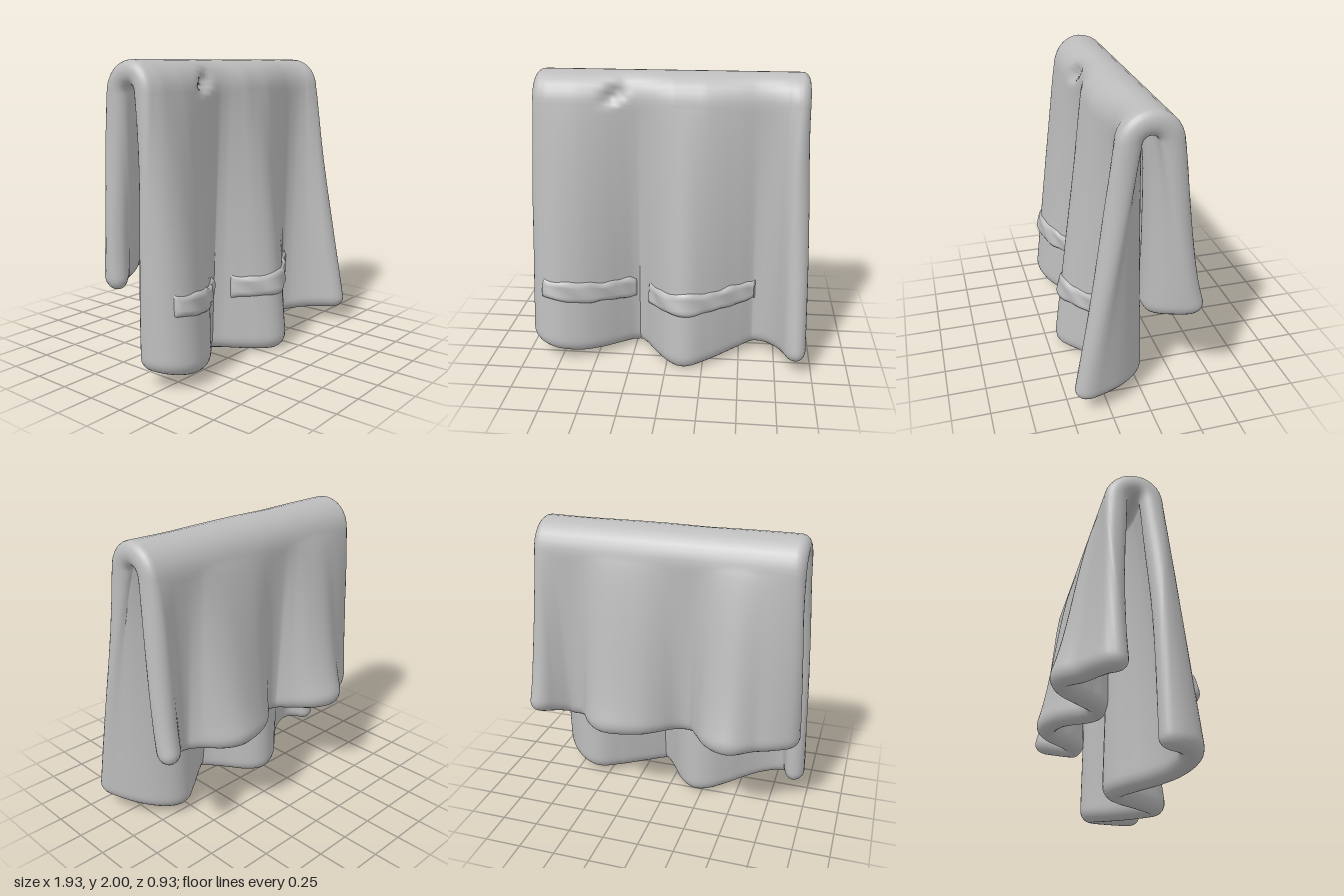
import * as THREE from 'three';
import { mergeVertices } from 'three/addons/utils/BufferGeometryUtils.js';

const HALF = 0.076;                       // half the cloth thickness
const BAR_R = 0.128, BAR_Y = 2 - BAR_R - HALF;   // centre line of the top fold
const FRONT = 1.81, ARC = Math.PI * BAR_R, BACK = 1.22;
const TOTAL = FRONT + ARC + BACK;
const { lerp, clamp } = THREE.MathUtils;

// Wavy hem seen from above: [x, z, x on the top fold]; the y slot carries the last one
function hem(points) {
  const curve = new THREE.CatmullRomCurve3(points.map(([x, z, top = x]) =>
    new THREE.Vector3(x, top, z)));
  curve.arcLengthDivisions = 300;
  return curve;
}
const frontHem = hem([[-0.88, 0.1, -0.91], [-0.9, 0.2, -0.85], [-0.86, 0.29, -0.8],
  [-0.77, 0.335, -0.74], [-0.62, 0.3], [-0.49, 0.21], [-0.38, 0.11], [-0.28, 0.03], [-0.2, 0.01],
  [-0.12, 0.08], [-0.05, 0.19], [0.05, 0.325], [0.12, 0.37], [0.26, 0.28], [0.45, 0.12],
  [0.58, 0.03], [0.69, 0.07], [0.8, 0.2, 0.78], [0.87, 0.36, 0.845], [0.9, 0.485, 0.91]]);
const backHem = hem([[-0.9, -0.06, -0.91], [-0.88, -0.15, -0.85], [-0.79, -0.23, -0.76],
  [-0.66, -0.305], [-0.52, -0.42], [-0.4, -0.37], [-0.31, -0.23], [-0.23, -0.11], [-0.13, -0.09],
  [-0.05, -0.13], [0.05, -0.24], [0.13, -0.31], [0.3, -0.37], [0.38, -0.365], [0.45, -0.31],
  [0.53, -0.18], [0.62, -0.1], [0.73, -0.11], [0.83, -0.21, 0.81], [0.93, -0.37, 0.91]]);

// Middle of the cloth: u runs left to right, s runs from front hem over the fold to back hem
function cloth(u, s) {
  const p = s < FRONT + ARC ? frontHem.getPointAt(u) : null;
  const frontR = p ? lerp(0.07, BAR_R, clamp(p.z / 0.3, 0, 1)) : 0;   // fold narrows over valleys
  if (s <= FRONT) {
    const t = 1 - s / FRONT, low = 0.11 * (p.x / 0.9) ** 2;
    return new THREE.Vector3(lerp(p.y, p.x, t), lerp(BAR_Y, low, t), lerp(frontR, p.z, t ** 0.9));
  }
  const q = backHem.getPointAt(u);
  if (s >= FRONT + ARC) {
    const t = (s - FRONT - ARC) / BACK;
    const low = 0.56 + 0.12 * Math.max(0, -q.z - 0.1) + 0.06 * clamp((q.x - 0.7) * 5, 0, 1);
    return new THREE.Vector3(lerp(q.y, q.x, t), lerp(BAR_Y, low, t),
      lerp(-BAR_R, q.z, 0.8 * t ** 0.8 + 0.2 * t ** 6));
  }
  const k = (s - FRONT) / ARC, a = k * Math.PI;
  return new THREE.Vector3(lerp(p.y, q.y, k), BAR_Y + BAR_R * Math.sin(a),
    (k < 0.5 ? frontR : BAR_R) * Math.cos(a));
}

function clothNormal(u, s) {
  const du = 0.004, ds = 0.012;
  const a = cloth(Math.min(1, u + du), s).sub(cloth(Math.max(0, u - du), s));
  const b = cloth(u, Math.min(TOTAL, s + ds)).sub(cloth(u, Math.max(0, s - ds)));
  return a.cross(b).normalize();
}

// Grid positions 0..1 with e = 0 inside and 1 at the rim, dense in the rounded border
function stations(count, border) {
  const list = [], R = 6;
  for (let i = 0; i < R; i++) list.push({ e: Math.cos(i / R * Math.PI / 2), side: -1 });
  for (let i = 0; i <= count; i++) list.push({ e: 0, side: 0, at: lerp(border, 1 - border, i / count) });
  for (let i = R - 1; i >= 0; i--) list.push({ e: Math.cos(i / R * Math.PI / 2), side: 1 });
  return list;
}
function place(st, e, border) {
  if (!st.side) return st.at;
  return st.side < 0 ? border * (1 - e) : 1 - border * (1 - e);
}

function gridIndex(index, cols, rows, start, flip) {
  for (let j = 0; j < rows - 1; j++) for (let i = 0; i < cols - 1; i++) {
    const a = start + j * cols + i, b = a + 1, c = a + cols, d = c + 1;
    if (flip) index.push(a, c, b, b, c, d);
    else index.push(a, b, c, b, d, c);
  }
}
function toGeometry(pos, index) {
  let g = new THREE.BufferGeometry();
  g.setAttribute('position', new THREE.Float32BufferAttribute(pos, 3));
  g.setIndex(index);
  g = mergeVertices(g, 1e-5);
  g.computeVertexNormals();
  return g;
}

// Small slanted pinch just under the fold on the front
function pinch(p) {
  const dx = p.x + 0.37, dy = p.y - 1.84;
  const along = dx * 0.94 + dy * 0.34, across = -dx * 0.34 + dy * 0.94;
  return p.z > 0 ? 0.065 * Math.exp(-((along / 0.08) ** 2) - (across / 0.026) ** 2) : 0;
}

function sheetGeometry() {
  const bu = 0.038, bs = 0.09 / TOTAL;
  const us = stations(120, bu), ss = stations(110, bs);
  const outer = [], inner = [], index = [];
  for (const sv of ss) for (const su of us) {
    const eu = su.e * Math.sqrt(1 - sv.e ** 2 / 2), es = sv.e * Math.sqrt(1 - su.e ** 2 / 2);
    const u = clamp(place(su, eu, bu), 0, 1), s = clamp(place(sv, es, bs), 0, 1) * TOTAL;
    const h = HALF * Math.sqrt(Math.max(0, 1 - eu * eu - es * es));
    const p = cloth(u, s), n = clothNormal(u, s);
    outer.push(...p.clone().addScaledVector(n, h - pinch(p) * h / HALF).toArray());
    inner.push(...p.clone().addScaledVector(n, -h).toArray());
  }
  gridIndex(index, us.length, ss.length, 0, false);
  gridIndex(index, us.length, ss.length, us.length * ss.length, true);
  return toGeometry(outer.concat(inner), index);
}

// Position along the front hem where it first passes a given fold x
function uAt(x) {
  let u = 0;
  while (u < 1 && frontHem.getPointAt(u).y < x) u += 0.002;
  return u;
}

// Slightly lumpy raised strip lying on the front face
function bandGeometry(x0, x1, cols) {
  const u0 = uAt(x0), u1 = uAt(x1), rows = 10, pos = [], index = [];
  for (let j = 0; j <= rows; j++) for (let i = 0; i <= cols; i++) {
    const a = i / cols, b = j / rows, u = lerp(u0, u1, a);
    const wobble = 0.012 * Math.sin(u * 47) + 0.008 * Math.sin(u * 101 + 1);
    const s = lerp(0.385, 0.55, b) + wobble * (b - 0.4);
    const rim = Math.min(1, 5 * Math.min(a * cols / 12, (1 - a) * cols / 12, b, 1 - b));
    const lift = lerp(-0.012, 0.02 + 0.005 * Math.sin(u * 70 + b * 5), Math.sqrt(rim));
    const p = cloth(u, s).addScaledVector(clothNormal(u, s), HALF + lift);
    pos.push(p.x, p.y, p.z);
  }
  gridIndex(index, cols + 1, rows + 1, 0, false);
  return toGeometry(pos, index);
}

export function createModel() {
  const group = new THREE.Group();
  group.name = 'drapedTowel';
  const grey = new THREE.MeshStandardMaterial({ color: 0xbcbcbc });
  grey.name = 'grey cloth';

  const add = (name, geometry) => {
    const mesh = new THREE.Mesh(geometry, grey);
    mesh.name = name;
    group.add(mesh);
  };
  add('towelSheet', sheetGeometry());
  add('rightBand', bandGeometry(-0.79, -0.26, 60));
  add('middleBand', bandGeometry(-0.08, 0.62, 70));
  return group;
}
